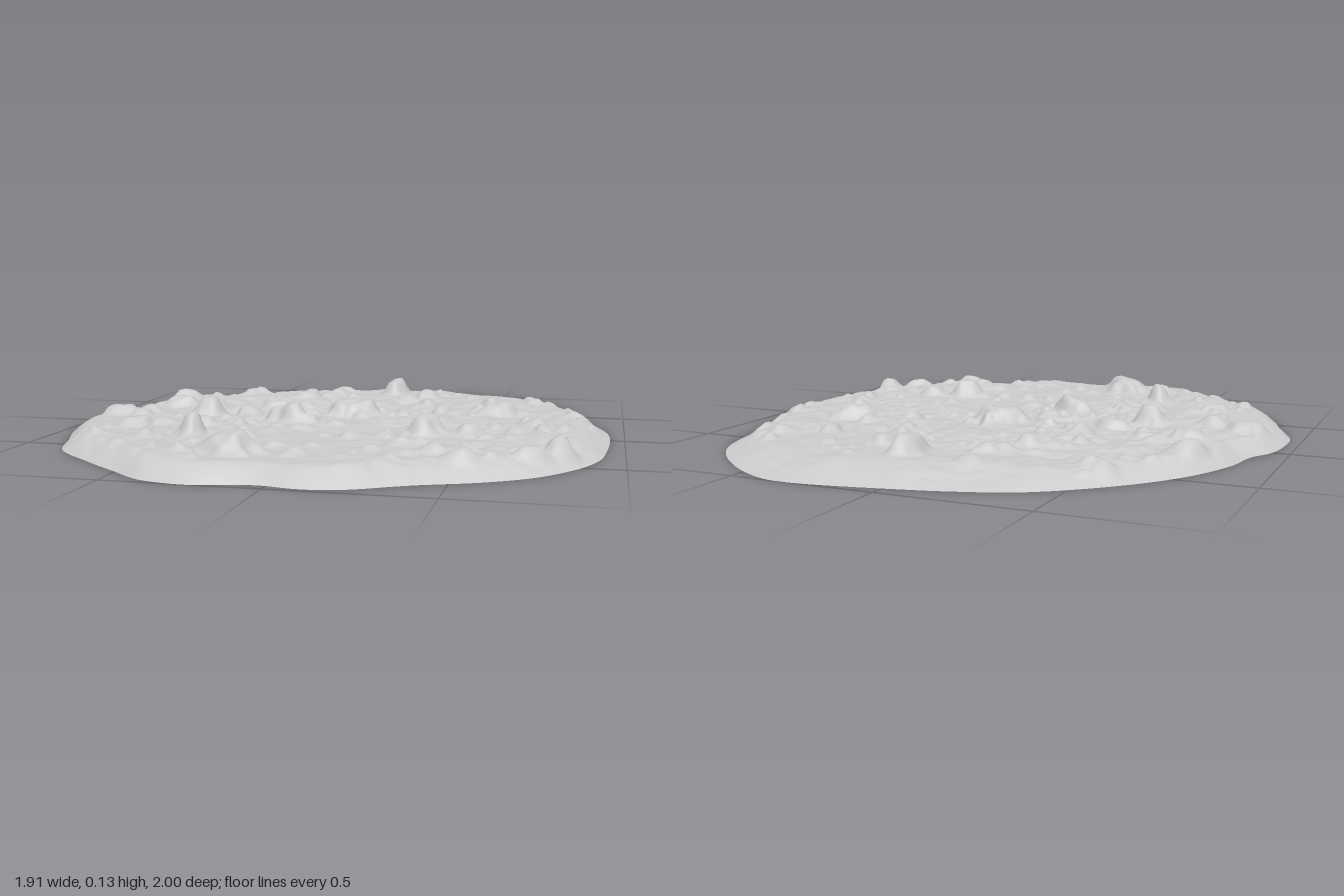
import * as THREE from 'three';

// Ground outline as x, z pairs, running round from the back
const OUTLINE = [
  0.3, -1, 0.39, -0.99, 0.57, -0.89, 0.77, -0.68, 0.87, -0.38, 0.94, -0.15, 0.95, 0.03, 0.94, 0.2,
  0.92, 0.36, 0.86, 0.51, 0.74, 0.67, 0.6, 0.77, 0.4, 0.86, 0.22, 0.96, 0.1, 0.98, -0.02, 0.96,
  -0.1, 0.97, -0.22, 1, -0.38, 0.97, -0.5, 0.88, -0.66, 0.75, -0.82, 0.6, -0.89, 0.42, -0.95, 0.27,
  -0.96, 0.2, -0.94, 0, -0.89, -0.1, -0.86, -0.25, -0.77, -0.45, -0.62, -0.64, -0.4, -0.82,
  -0.2, -0.9, 0, -0.95, 0.2, -0.99,
];

// Larger stones: x, z, half length, half width, turn, height
const STONES = [
  [0.03, -0.07, 0.13, 0.1, 0.4, 0.055], [-0.2, 0.72, 0.13, 0.1, -0.5, 0.06],
  [0.07, -0.67, 0.06, 0.1, -0.2, 0.06], [0.55, -0.2, 0.11, 0.07, 0.5, 0.045],
  [-0.74, -0.31, 0.08, 0.07, 0.5, 0.035], [-0.69, -0.14, 0.08, 0.05, 0.2, 0.035],
  [-0.84, 0.1, 0.09, 0.07, 0, 0.03], [-0.49, 0.08, 0.08, 0.06, 0.4, 0.06],
  [-0.17, 0.16, 0.12, 0.06, -0.6, 0.055], [0.35, 0.34, 0.08, 0.06, 0.7, 0.06],
  [0.5, 0.3, 0.07, 0.05, 0.5, 0.035], [-0.4, 0.5, 0.05, 0.07, -0.3, 0.065],
  [-0.65, 0.38, 0.07, 0.05, 1, 0.03], [0.8, 0.47, 0.06, 0.07, 0.2, 0.045],
  [0.72, 0.57, 0.07, 0.05, 0.4, 0.03],
];

function seeded(seed) {
  return () => {
    seed = (seed * 16807) % 2147483647;
    return seed / 2147483647;
  };
}

// Smooth value noise in -1..1
function noise(x, z) {
  const hash = (i, j) => {
    const s = Math.sin(i * 127.1 + j * 311.7) * 43758.5453;
    return (s - Math.floor(s)) * 2 - 1;
  };
  const i = Math.floor(x), j = Math.floor(z);
  const u = THREE.MathUtils.smoothstep(x - i, 0, 1);
  const v = THREE.MathUtils.smoothstep(z - j, 0, 1);
  const lerp = THREE.MathUtils.lerp;
  return lerp(lerp(hash(i, j), hash(i + 1, j), u), lerp(hash(i, j + 1), hash(i + 1, j + 1), u), v);
}

// Pebbles scattered between the stones, fewer on the smooth patches
function scatterPebbles() {
  const rand = seeded(4711);
  const pebbles = [];
  while (pebbles.length < 170) {
    const a = rand() * Math.PI * 2, d = Math.sqrt(rand()) * 0.92;
    const x = Math.cos(a) * d, z = Math.sin(a) * d;
    const size = 0.02 + 0.035 * rand() ** 2;
    const turn = rand() * Math.PI;
    const smooth = Math.hypot(x - 0.35, z - 0.1) < 0.22 || Math.hypot(x, z + 0.3) < 0.15
      || Math.hypot(x + 0.05, z - 0.45) < 0.17 || z < -0.75;
    if (smooth && rand() < 0.8) continue;
    pebbles.push([x, z, size * 1.3, size, turn, size * (0.3 + 0.35 * rand())]);
  }
  return pebbles;
}

// Height a stone adds: steep flanks and a gently tilted top
function stoneHeight([sx, sz, a, b, turn, h], x, z) {
  const dx = x - sx, dz = z - sz;
  if (Math.abs(dx) > 0.2 || Math.abs(dz) > 0.2) return 0;
  const c = Math.cos(turn), s = Math.sin(turn);
  const u = (dx * c - dz * s) / a, v = (dx * s + dz * c) / b;
  const wobble = 0.18 * noise(x * 26 + 3, z * 26);
  const d = Math.hypot(u, v) + wobble;
  return h * (1 - THREE.MathUtils.smoothstep(d, 0.3, 1.05)) * (1 + 0.18 * u - 0.15 * v);
}

export function createModel() {
  const group = new THREE.Group();
  group.name = 'rockyGround';

  const corners = [];
  for (let i = 0; i < OUTLINE.length; i += 2) corners.push(new THREE.Vector3(OUTLINE[i], 0, OUTLINE[i + 1]));
  const edge = new THREE.CatmullRomCurve3(corners, true, 'centripetal');
  const rocks = [...STONES, ...scatterPebbles()];

  const heightAt = (x, z, rimDistance) => {
    const back = THREE.MathUtils.smoothstep(-z, 0.3, 1);
    const right = THREE.MathUtils.smoothstep(x, 0.4, 0.95);
    const base = 0.055 - 0.018 * back - 0.008 * right;
    const slope = 0.1 + 0.13 * back + 0.03 * right;
    const rise = Math.sin(Math.min(rimDistance / slope, 1) * Math.PI / 2);
    const rough = 0.35 + 0.65 * THREE.MathUtils.smoothstep(noise(x * 3 + 7, z * 3 + 2), -0.4, 0.4);
    const bumps = 0.008 * noise(x * 5, z * 5)
      + rough * (0.007 * noise(x * 13, z * 13) + 0.005 * noise(x * 27, z * 27) + 0.0025 * noise(x * 50, z * 50));
    let stones = 0;
    for (const rock of rocks) stones = Math.max(stones, stoneHeight(rock, x, z));
    const fade = Math.min(rimDistance / 0.07, 1);
    return Math.max(0, base * rise + (bumps + stones) * fade);
  };

  // Rings from the middle out to the rim, open underneath
  const SEGMENTS = 300, RINGS = 120;
  const positions = [0, heightAt(0, 0, 1), 0];
  const indices = [];
  const rim = edge.getSpacedPoints(SEGMENTS).slice(0, SEGMENTS);
  for (let r = 1; r <= RINGS; r++) {
    const t = r / RINGS;
    for (let s = 0; s < SEGMENTS; s++) {
      const x = rim[s].x * t, z = rim[s].z * t;
      positions.push(x, heightAt(x, z, (1 - t) * rim[s].length()), z);
      const next = (s + 1) % SEGMENTS;
      const outer = 1 + (r - 1) * SEGMENTS;
      if (r === 1) {
        indices.push(0, outer + next, outer + s);
      } else {
        const inner = outer - SEGMENTS;
        indices.push(inner + s, inner + next, outer + s, inner + next, outer + next, outer + s);
      }
    }
  }
  const geometry = new THREE.BufferGeometry();
  geometry.setAttribute('position', new THREE.Float32BufferAttribute(positions, 3));
  geometry.setIndex(indices);
  geometry.computeVertexNormals();

  const ground = new THREE.Mesh(geometry, new THREE.MeshStandardMaterial({ color: 0xcccccc, side: THREE.DoubleSide }));
  ground.name = 'stonyGround';
  group.add(ground);
  return group;
}
